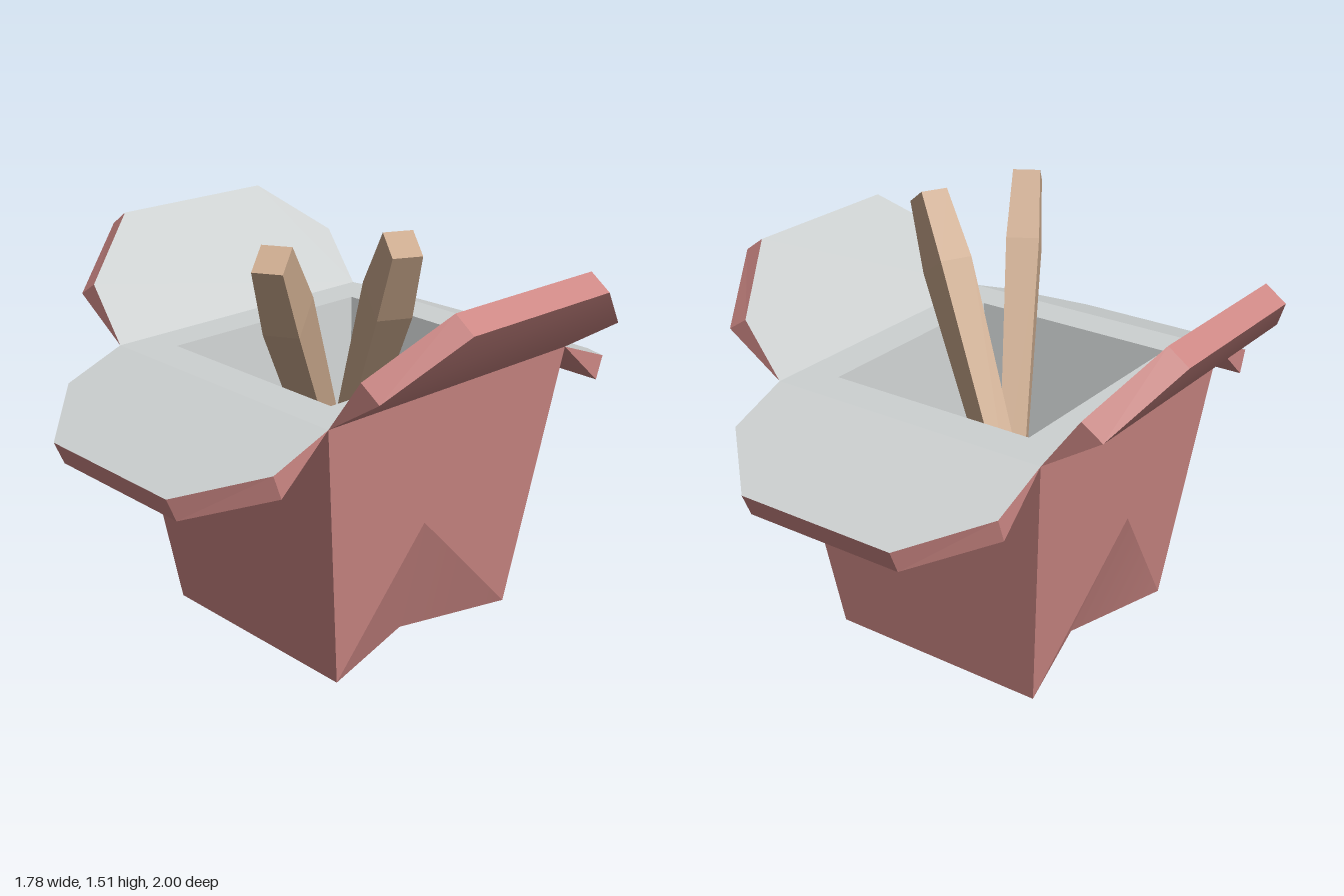
import * as THREE from 'three';

const red = new THREE.MeshStandardMaterial({ color: 0xcc8784 });
red.name = 'red card';
const grey = new THREE.MeshStandardMaterial({ color: 0xcdd1d1 });
grey.name = 'grey lining';
const wood = new THREE.MeshStandardMaterial({ color: 0xc9a88c });
wood.name = 'wood';

// Mesh from corner points and convex polygons; smooth shares normals
function faceMesh(name, material, points, faces, smooth = false) {
  const index = [];
  for (const f of faces) {
    for (let i = 1; i < f.length - 1; i++) index.push(f[0], f[i], f[i + 1]);
  }
  let geo = new THREE.BufferGeometry();
  geo.setAttribute('position', new THREE.Float32BufferAttribute(points.flat(), 3));
  geo.setIndex(index);
  if (!smooth) geo = geo.toNonIndexed();
  geo.computeVertexNormals();
  const mesh = new THREE.Mesh(geo, material);
  mesh.name = name;
  return mesh;
}

// Four corners of a level rectangle, counterclockwise from above
const rect = (x, y, z) => [[x, y, z], [x, y, -z], [-x, y, -z], [-x, y, z]];

// Quads joining ring k to ring k + 1
const band = (k) => [0, 1, 2, 3].map((i) => {
  const j = (i + 1) % 4;
  return [k * 4 + i, k * 4 + j, k * 4 + 4 + j, k * 4 + 4 + i];
});

const RIM = 0.99;

function createBox() {
  const box = new THREE.Group();
  box.name = 'box';

  // Front and back walls, and the base with its two inward folds
  const shell = [...rect(0.42, 0, 0.42), ...rect(0.535, RIM, 0.56), [0.3, 0, 0], [-0.3, 0, 0]];
  box.add(faceMesh('frontAndBackWalls', red, shell, [[3, 0, 4, 7], [1, 2, 6, 5]]));
  box.add(faceMesh('base', red, shell, [[8, 0, 3, 9, 2, 1]]));

  // Side walls with a triangular dent at the bottom
  for (const s of [1, -1]) {
    const side = [
      [s * 0.42, 0, 0.42], [s * 0.42, 0, -0.42],
      [s * 0.535, RIM, -0.56], [s * 0.535, RIM, 0.56],
      [s * 0.478, 0.5, 0.07], [s * 0.3, 0, 0],
    ];
    const turn = (faces) => (s > 0 ? faces : faces.map((f) => [...f].reverse()));
    box.add(faceMesh('sideWall', red, side, turn([[1, 2, 4], [2, 3, 4], [3, 0, 4]])));
    box.add(faceMesh('sideDent', red, side, turn([[0, 5, 4], [5, 1, 4]]), true));
  }

  // Rim, inner walls and floor
  const lining = [...rect(0.535, RIM, 0.56), ...rect(0.395, RIM, 0.42), ...rect(0.34, 0.4, 0.36)];
  box.add(faceMesh('lining', grey, lining, [...band(0), ...band(1), [8, 9, 10, 11]]));
  return box;
}

// Thick flap pointing along +z; each profile entry is [z, y]
function createFlap(name, angle, w, t, { hinge, topKink, topTip, lowKink, lowTip }) {
  const pair = (x, [z, y]) => [[-x, y, z], [x, y, z]];
  const pts = [
    ...pair(w, hinge), ...pair(w, topKink), ...pair(t, topTip),
    ...pair(w, lowKink), ...pair(t, lowTip),
  ];
  const flap = new THREE.Group();
  flap.name = name;
  flap.add(faceMesh('flapInside', grey, pts, [[0, 2, 4, 5, 3, 1]]));
  flap.add(faceMesh('flapOutside', red, pts, [[0, 1, 7, 6], [6, 7, 9, 8]], true));
  flap.add(faceMesh('flapEdges', red, pts,
    [[8, 9, 5, 4], [9, 7, 3, 5], [6, 8, 4, 2], [7, 1, 3], [0, 6, 2]]));
  flap.rotation.y = angle;
  return flap;
}

// Tapered stick, widest just below its tip
function createStick(name, from, to) {
  const a = new THREE.Vector3(...from);
  const b = new THREE.Vector3(...to);
  const d = b.clone().sub(a).normalize();
  const u = d.clone().cross(new THREE.Vector3(0, 1, 0)).normalize();
  const n = u.clone().cross(d);
  const pts = [];
  for (const [f, w, t] of [[0, 0.04, 0.045], [0.8, 0.06, 0.085], [1, 0.05, 0.056]]) {
    for (const [p, q] of [[1, 1], [1, -1], [-1, -1], [-1, 1]]) {
      pts.push(a.clone().lerp(b, f).addScaledVector(u, p * w).addScaledVector(n, q * t).toArray());
    }
  }
  return faceMesh(name, wood, pts, [...band(0), ...band(1), [8, 9, 10, 11], [3, 2, 1, 0]]);
}

export function createModel() {
  const model = new THREE.Group();
  model.name = 'takeawayBox';
  model.add(createBox());

  // Drooping front and back flaps
  const droop = {
    hinge: [0.56, RIM], topKink: [0.78, 0.905], topTip: [1.0, 0.82],
    lowKink: [0.75, 0.82], lowTip: [0.965, 0.737],
  };
  model.add(createFlap('frontFlap', 0, 0.535, 0.3, droop));
  model.add(createFlap('backFlap', Math.PI, 0.535, 0.3, droop));

  // Raised side flaps
  const raised = {
    hinge: [0.535, RIM], topKink: [0.675, 1.18], topTip: [0.815, 1.37],
    lowKink: [0.753, 1.13], lowTip: [0.89, 1.317],
  };
  model.add(createFlap('leftFlap', Math.PI / 2, 0.56, 0.315, raised));
  model.add(createFlap('rightFlap', -Math.PI / 2, 0.56, 0.315, raised));

  // Pair of sticks resting inside
  model.add(createStick('firstStick', [-0.18, 0.37, -0.14], [0.45, 1.475, 0.165]));
  model.add(createStick('secondStick', [-0.06, 0.37, -0.05], [0.305, 1.475, 0.575]));
  return model;
}
